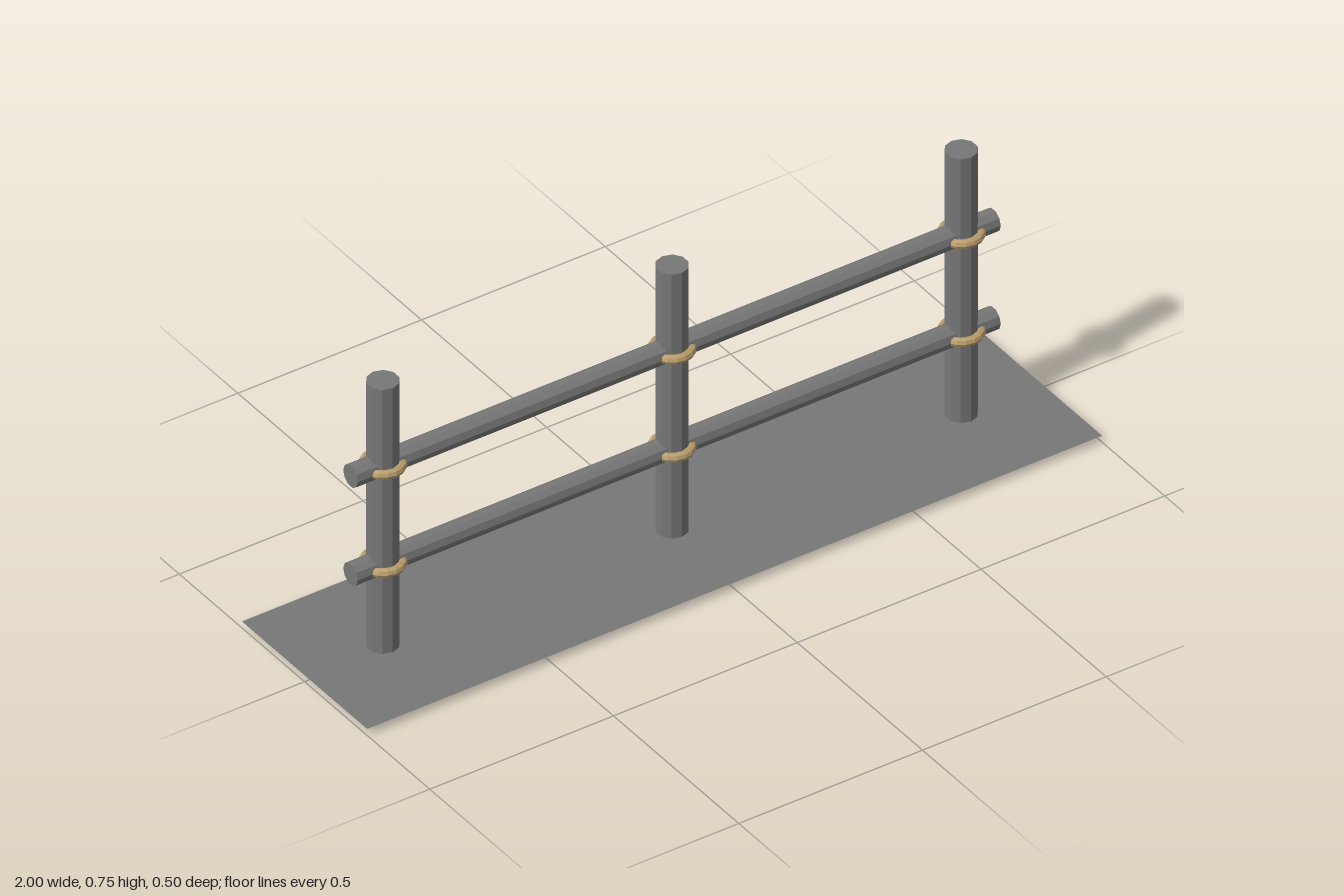
import * as THREE from 'three';

export function createModel() {
  const model = new THREE.Group();
  model.name = 'fence';

  const wood = new THREE.MeshStandardMaterial({ color: 0x777777, flatShading: true });
  wood.name = 'grey wood';
  const rope = new THREE.MeshStandardMaterial({ color: 0xb89d6c, flatShading: true });
  rope.name = 'tan rope';
  const ground = new THREE.MeshStandardMaterial({ color: 0x777777, side: THREE.DoubleSide });
  ground.name = 'grey ground';

  const add = (name, geometry, material, x, y) => {
    const mesh = new THREE.Mesh(geometry, material);
    mesh.name = name;
    mesh.position.set(x, y, 0);
    model.add(mesh);
  };

  const postXs = [-0.787, 0, 0.787];
  const railYs = [0.247, 0.519];
  const postHeight = 0.75;

  // flat ground sheet, pierced by the post feet
  add('groundSheet', new THREE.PlaneGeometry(2, 0.5).rotateX(-Math.PI / 2), ground, 0, 0.018);

  // ten-sided posts
  const postGeometry = new THREE.CylinderGeometry(0.039, 0.039, postHeight, 10);
  for (const x of postXs) add('post', postGeometry, wood, x, postHeight / 2);

  // horizontal rails with a rope ring at every crossing
  const railGeometry = new THREE.CylinderGeometry(0.029, 0.029, 1.75, 10).rotateZ(Math.PI / 2);
  const ringGeometry = new THREE.TorusGeometry(0.045, 0.0115, 8, 16).rotateX(Math.PI / 2);
  for (const y of railYs) {
    add('rail', railGeometry, wood, 0, y);
    for (const x of postXs) add('ropeRing', ringGeometry, rope, x, y);
  }

  return model;
}
